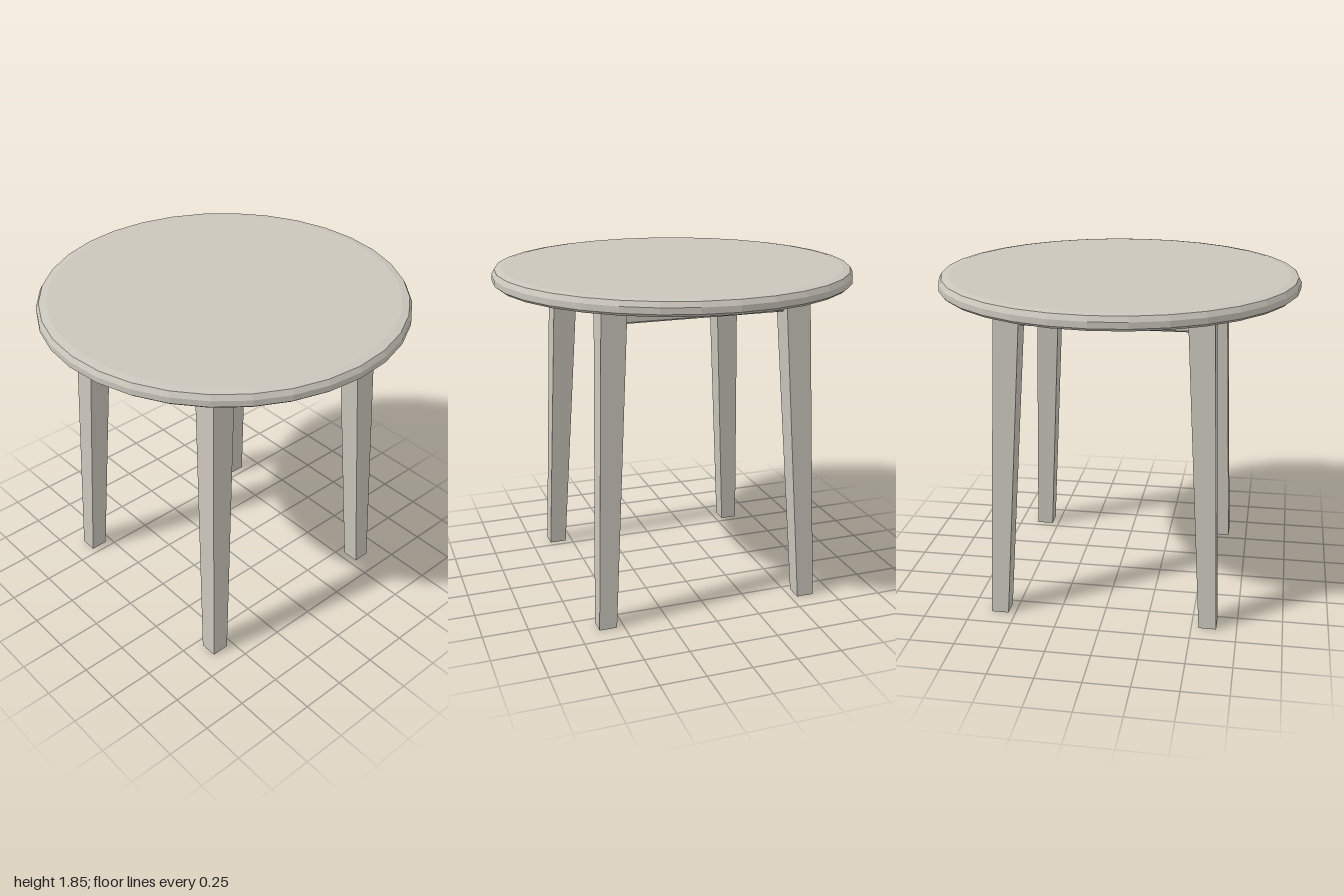
import * as THREE from 'three';

const wood = new THREE.MeshStandardMaterial({ color: 0xcac6bc, flatShading: true });
wood.name = 'pale wood';

function part(name, geometry, parent) {
  const mesh = new THREE.Mesh(geometry, wood);
  mesh.name = name;
  parent.add(mesh);
  return mesh;
}

// Square leg that leans outward and tapers to the foot
function legGeometry() {
  const height = 1.77;
  const g = new THREE.BoxGeometry(1, height, 1);
  g.translate(0, height / 2, 0);
  const p = g.attributes.position;
  for (let i = 0; i < p.count; i++) {
    const top = p.getY(i) > height / 2;
    const [inner, outer] = top ? [0.436, 0.574] : [0.54, 0.638];
    p.setX(i, p.getX(i) > 0 ? outer : inner);
    p.setZ(i, p.getZ(i) > 0 ? outer : inner);
  }
  g.computeVertexNormals();
  return g;
}

// Thin rail with chamfered long edges, lying along x
function railGeometry() {
  const w = 0.022, b = 0.008, y0 = 1.655, y1 = 1.764, length = 0.96;
  const shape = new THREE.Shape([
    [-w + b, y0], [w - b, y0], [w, y0 + b], [w, y1 - b],
    [w - b, y1], [-w + b, y1], [-w, y1 - b], [-w, y0 + b],
  ].map(([x, y]) => new THREE.Vector2(x, y)));
  const g = new THREE.ExtrudeGeometry(shape, { depth: length, bevelEnabled: false });
  g.translate(0, 0, -length / 2);
  g.rotateY(Math.PI / 2);
  g.translate(0, 0, 0.506);
  return g;
}

export function createModel() {
  const table = new THREE.Group();
  table.name = 'roundTable';

  // Round top with softened rim
  const profile = [
    [0, 1.762], [0.945, 1.762], [0.982, 1.77], [1, 1.785],
    [1, 1.818], [0.985, 1.845], [0.945, 1.852], [0, 1.852],
  ].map(([r, y]) => new THREE.Vector2(r, y));
  part('tableTop', new THREE.LatheGeometry(profile, 32), table);

  // Four legs and four rails, turned around the centre
  const leg = legGeometry();
  const rail = railGeometry();
  const legNames = ['frontLeftLeg', 'backLeftLeg', 'backRightLeg', 'frontRightLeg'];
  const railNames = ['frontRail', 'leftRail', 'backRail', 'rightRail'];
  for (let i = 0; i < 4; i++) {
    part(legNames[i], leg, table).rotation.y = i * Math.PI / 2;
    part(railNames[i], rail, table).rotation.y = i * Math.PI / 2;
  }
  return table;
}
